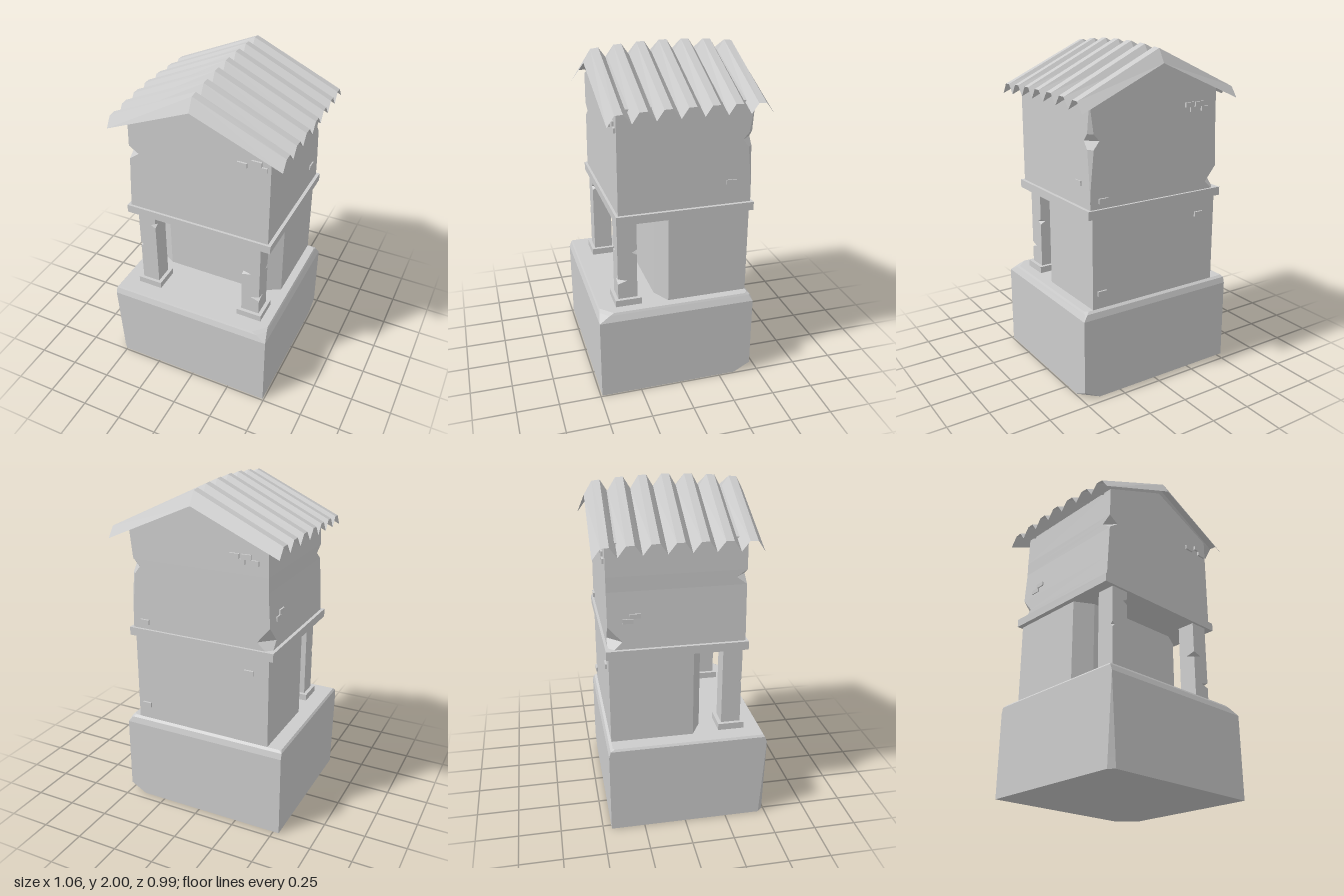
import * as THREE from 'three';

const mat = new THREE.MeshStandardMaterial({ color: 0xcccccc, flatShading: true, side: THREE.DoubleSide });

function add(parent, name, geometry, x = 0, y = 0, z = 0) {
  const mesh = new THREE.Mesh(geometry, mat);
  mesh.name = name;
  mesh.position.set(x, y, z);
  parent.add(mesh);
  return mesh;
}

// Box given by its limits on each axis
function box(parent, name, [x0, x1], [y0, y1], [z0, z1]) {
  return add(parent, name, new THREE.BoxGeometry(x1 - x0, y1 - y0, z1 - z0),
    (x0 + x1) / 2, (y0 + y1) / 2, (z0 + z1) / 2);
}

function fromTriangles(tris) {
  const pos = [];
  const area = new THREE.Triangle();
  for (const [a, b, c] of tris) {
    area.set(a, b, c);
    if (area.getArea() > 1e-7) for (const p of [a, b, c]) pos.push(p.x, p.y, p.z);
  }
  const g = new THREE.BufferGeometry();
  g.setAttribute('position', new THREE.Float32BufferAttribute(pos, 3));
  g.computeVertexNormals();
  return g;
}

// Joins stacked rings of points into a capped solid
function loft(rings) {
  const tris = [];
  const n = rings[0].length;
  for (let r = 0; r < rings.length - 1; r++) {
    for (let i = 0; i < n; i++) {
      const j = (i + 1) % n;
      const [a, b, c, d] = [rings[r][i], rings[r][j], rings[r + 1][j], rings[r + 1][i]];
      tris.push([a, b, c], [a, c, d]);
    }
  }
  const low = rings[0], top = rings[rings.length - 1];
  for (let i = 1; i < n - 1; i++) {
    tris.push([low[0], low[i + 1], low[i]], [top[0], top[i], top[i + 1]]);
  }
  return fromTriangles(tris);
}

// Rectangle with chipped corners: front -x, front +x, back +x, back -x
function ring(y, [x0, x1], [z0, z1], [a, b, c, d] = [0, 0, 0, 0]) {
  return [[x0, z1 - a], [x0 + a, z1], [x1 - b, z1], [x1, z1 - b],
    [x1, z0 + c], [x1 - c, z0], [x0 + d, z0], [x0, z0 + d]]
    .map(([x, z]) => new THREE.Vector3(x, y, z));
}

function pillar(parent, name, [x0, x1], chips) {
  const g = new THREE.Group();
  g.name = name;
  parent.add(g);
  const z = [0.24, 0.355];
  const rings = [ring(0.58, [x0, x1], z)];
  for (const [y, c] of chips) {
    rings.push(ring(y - 0.017, [x0, x1], z), ring(y, [x0, x1], z, c), ring(y + 0.017, [x0, x1], z));
  }
  rings.push(ring(1.09, [x0, x1], z));
  add(g, name + 'Shaft', loft(rings));
  box(g, name + 'Foot', [x0 - 0.022, x1 + 0.022], [0.54, 0.587], [0.218, 0.375]);
}

// Corrugated sheet folded over the ridge
function roofGeometry() {
  const pitch = 0.1315, start = -0.491, profile = [];
  for (let k = 0; k < 7; k++) {
    const z = start + k * pitch;
    profile.push([z, 0], [z + 0.046, 1], [z + 0.091, 1]);
  }
  profile.push([start + 7 * pitch, 0]);
  const point = ([z, h], side) => {
    const bow = 0.028 * ((z + 0.05) / 0.42) ** 2;
    const edge = 0.53 - 0.012 * Math.abs(z + 0.03) / 0.45;
    return side
      ? new THREE.Vector3(side * edge, 1.69 + h * 0.058 - bow * 0.5, z - 0.008)
      : new THREE.Vector3(0, 1.93 + h * 0.07 - bow, z + 0.004);
  };
  const tris = [];
  for (let i = 0; i < profile.length - 1; i++) {
    for (const s of [-1, 1]) {
      const a = point(profile[i], 0), b = point(profile[i + 1], 0);
      const c = point(profile[i + 1], s), d = point(profile[i], s);
      if (s > 0) tris.push([a, b, c], [a, c, d]);
      else tris.push([a, c, b], [a, d, c]);
    }
  }
  return fromTriangles(tris);
}

export function createModel() {
  const model = new THREE.Group();
  model.name = 'stoneShrine';

  // Rough stone plinth with chipped corners and a worn upper edge
  const px = [-0.535, 0.492], pz = [-0.45, 0.49];
  add(model, 'plinth', loft([
    ring(0, px, pz, [0.03, 0, 0.1, 0]),
    ring(0.055, px, pz, [0.027, 0, 0, 0]),
    ring(0.5, px, pz),
    ring(0.535, [-0.535, 0.475], [-0.44, 0.477], [0, 0.05, 0.01, 0]),
    ring(0.547, [-0.525, 0.468], [-0.425, 0.47], [0, 0.07, 0.02, 0.01]),
  ]));

  // Lower chamber with slanted front corners
  const plan = [[-0.44, 0.06], [-0.33, 0.12], [0.31, 0.12], [0.418, 0.06], [0.418, -0.425], [-0.44, -0.425]];
  add(model, 'lowerChamber', loft([0.535, 1.09].map(
    (y) => plan.map(([x, z]) => new THREE.Vector3(x, y, z)))));

  // Front pillars, each nicked at a few corners
  pillar(model, 'rightPillar', [-0.405, -0.295], [[0.85, [0.015, 0, 0, 0]], [1.02, [0, 0.03, 0, 0]]]);
  pillar(model, 'leftPillar', [0.275, 0.388], [[0.7, [0, 0.055, 0, 0]], [0.878, [0.06, 0, 0.03, 0]]]);

  box(model, 'ledge', [-0.47, 0.45], [1.085, 1.135], [-0.44, 0.37]);

  // Upper chamber with notched corners
  const uz = [-0.425, 0.355];
  add(model, 'upperChamber', loft([
    ring(1.13, [-0.45, 0.43], uz, [0, 0, 0, 0.03]),
    ring(1.18, [-0.447, 0.43], uz, [0, 0, 0, 0.08]),
    ring(1.27, [-0.442, 0.43], uz, [0, 0, 0.005, 0]),
    ring(1.465, [-0.43, 0.43], uz, [0, 0, 0.025, 0]),
    ring(1.51, [-0.43, 0.43], uz, [0.06, 0, 0.06, 0]),
    ring(1.55, [-0.43, 0.43], uz, [0, 0, 0.025, 0]),
    ring(1.725, [-0.425, 0.43], uz),
  ]));

  // Gable under the roof
  const gable = new THREE.Shape([[-0.425, 1.72], [0.43, 1.72], [0.43, 1.735], [0, 1.92], [-0.425, 1.735]]
    .map(([x, y]) => new THREE.Vector2(x, y)));
  add(model, 'gable', new THREE.ExtrudeGeometry(gable, { depth: 0.78, bevelEnabled: false }), 0, 0, -0.425);

  add(model, 'corrugatedRoof', roofGeometry());

  // Exposed bricks on the front and back walls: x, y, wall z
  const bricks = [
    [0.267, 1.62, 0.355], [0.35, 1.648, 0.355], [0.383, 1.62, 0.355],
    [-0.23, 1.65, -0.425], [-0.3, 1.65, -0.425], [-0.265, 1.622, -0.425], [-0.345, 1.622, -0.425],
    [0.35, 1.18, -0.425], [-0.32, 0.99, -0.425], [0.36, 0.64, -0.425],
  ];
  for (const [x, y, z] of bricks) {
    box(model, 'exposedBrick', [x - 0.029, x + 0.029], [y - 0.014, y + 0.014], [z - 0.011, z + 0.011]);
  }
  // Exposed bricks on the side walls: wall x, y, z
  for (const [x, y, z] of [[0.427, 1.268, -0.305], [-0.437, 1.325, -0.27], [-0.437, 1.297, -0.31]]) {
    box(model, 'exposedBrick', [x - 0.01, x + 0.01], [y - 0.013, y + 0.013], [z - 0.03, z + 0.03]);
  }
  return model;
}
